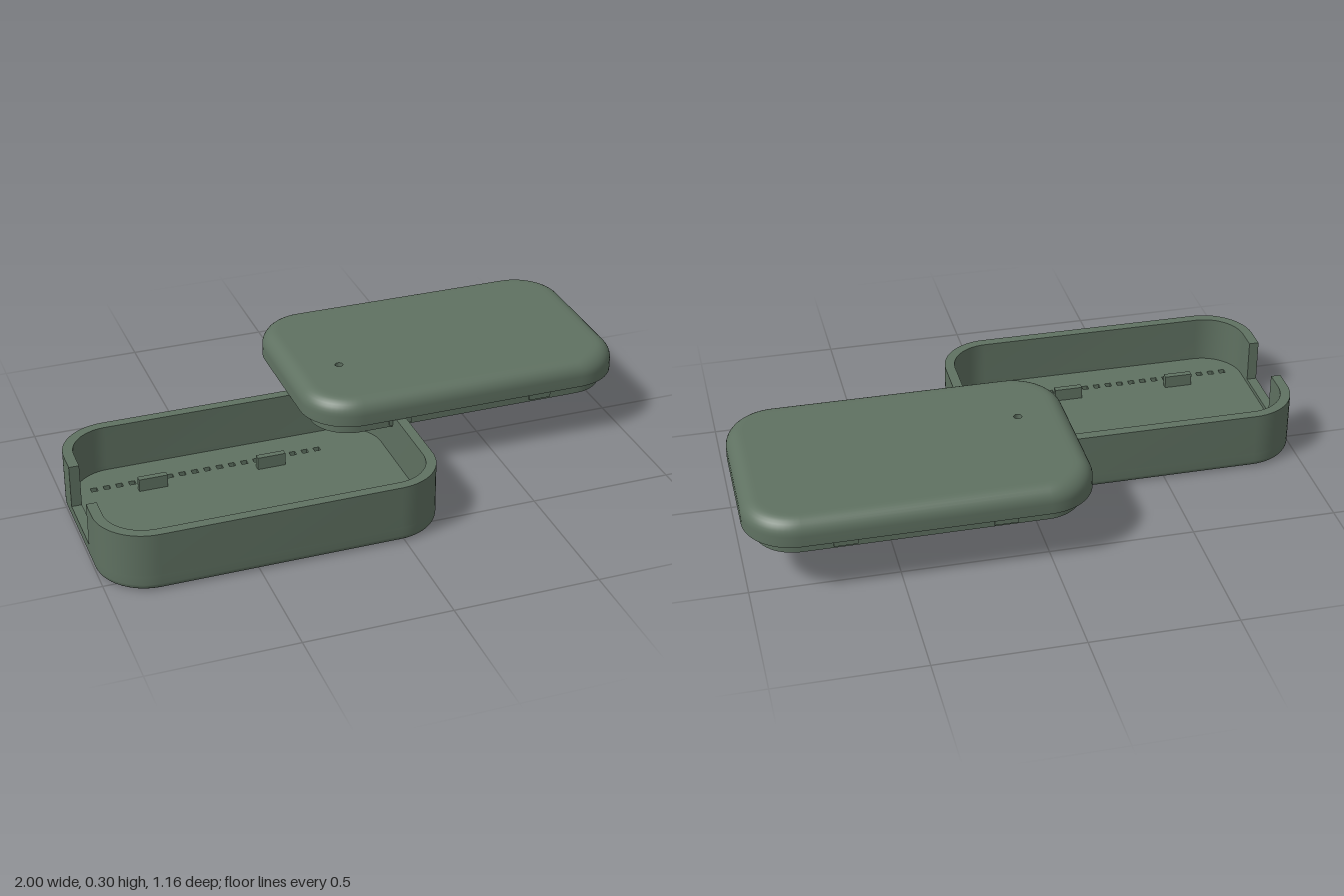
import * as THREE from 'three';
import { toCreasedNormals } from 'three/addons/utils/BufferGeometryUtils.js';

const HX = 0.5815, HZ = 0.371, R = 0.175; // half size and corner radius of both halves
const CUT = 0.12; // half width of the cable opening
const WALL = 0.035;

// Rounded-rectangle outline from the middle of the -x end, leaving a gap if asked
function outline(gap = 0) {
  const pts = [{ cx: -HX + R, cz: -gap, nx: -1, nz: 0 }];
  const corners = [[-1, -1, 2], [1, -1, 3], [1, 1, 0], [-1, 1, 1]];
  for (const [sx, sz, q] of corners) {
    for (let i = 0; i <= 14; i++) {
      const a = (q + i / 14) * Math.PI / 2;
      pts.push({ cx: sx * (HX - R), cz: sz * (HZ - R), nx: Math.cos(a), nz: Math.sin(a) });
    }
  }
  pts.push({ cx: -HX + R, cz: gap, nx: -1, nz: 0 });
  return pts;
}

// Sweeps a closed [inset, y] profile along the outline, capping the ends at a gap
function sweep(profile, gap = 0) {
  const path = outline(gap), pos = [];
  const at = (p, [d, y]) => [p.cx + p.nx * (R - d), y, p.cz + p.nz * (R - d)];
  const tri = (a, b, c) => pos.push(...a, ...b, ...c);
  for (let i = 0; i < path.length - 1; i++) {
    profile.forEach((k, j) => {
      const n = profile[(j + 1) % profile.length];
      const a = at(path[i], k), b = at(path[i + 1], k), c = at(path[i], n), d = at(path[i + 1], n);
      tri(a, c, b);
      tri(b, c, d);
    });
  }
  if (gap > 0) {
    const first = path[0], last = path[path.length - 1];
    const contour = profile.map(([d, y]) => new THREE.Vector2(-d, y));
    for (const [a, b, c] of THREE.ShapeUtils.triangulateShape(contour, [])) {
      tri(at(last, profile[a]), at(last, profile[b]), at(last, profile[c]));
      tri(at(first, profile[a]), at(first, profile[c]), at(first, profile[b]));
    }
  }
  const geo = new THREE.BufferGeometry();
  geo.setAttribute('position', new THREE.Float32BufferAttribute(pos, 3));
  return toCreasedNormals(geo, 0.6);
}

// Horizontal plate filling the outline at an inset, with holes
function plate(inset, bottom, top, holes) {
  const pts = outline().slice(1, -1)
    .map(p => new THREE.Vector2(p.cx + p.nx * (R - inset), p.cz + p.nz * (R - inset)));
  const shape = new THREE.Shape(pts);
  shape.holes.push(...holes);
  const geo = new THREE.ExtrudeGeometry(shape, { depth: top - bottom, bevelEnabled: false });
  return geo.rotateX(Math.PI / 2).translate(0, top, 0);
}

// Quarter-round profile points from the side (inset 0) to the flat face
function fillet(r, y, up) {
  const pts = [];
  for (let i = 0; i <= 8; i++) {
    const a = i / 8 * Math.PI / 2;
    pts.push([r - r * Math.cos(a), y + up * (r * Math.sin(a) - r)]);
  }
  return up > 0 ? pts : pts.reverse();
}

export function createModel() {
  const green = new THREE.MeshStandardMaterial({ color: 0x5f7161 });
  green.name = 'sage green';
  const model = new THREE.Group();
  model.name = 'openCase';
  const add = (parent, name, geo, x = 0, y = 0, z = 0) => {
    const mesh = new THREE.Mesh(geo, green);
    mesh.name = name;
    mesh.position.set(x, y, z);
    parent.add(mesh);
  };

  // Tray: rounded lower wall, upper wall with cable opening, perforated floor
  const tray = new THREE.Group();
  tray.name = 'tray';
  tray.position.set(-0.4185, 0, 0.209);
  const sill = 0.055, floorTop = 0.04, rim = 0.207;
  add(tray, 'lowerWall', sweep([...fillet(0.022, 0, -1), [0, sill], [WALL, sill], [WALL, 0]]));
  add(tray, 'upperWall', sweep([[0, sill], [0, rim], [WALL, rim], [WALL, sill]], CUT));
  const vents = [];
  for (const z of [-0.222, 0.222]) {
    for (let i = 0; i < 19; i++) {
      const x = -0.481 + i * 0.0443, h = 0.011;
      vents.push(new THREE.Path([[-h, -h], [-h, h], [h, h], [h, -h]]
        .map(([u, v]) => new THREE.Vector2(x + u, z + v))));
    }
  }
  add(tray, 'floor', plate(WALL, 0, floorTop, vents));
  // Upright stops on the floor
  for (const x of [-0.289, 0.131]) {
    for (const z of [-0.17, 0.166]) {
      add(tray, 'boardStop', new THREE.BoxGeometry(0.1, 0.05, 0.022), x, floorTop + 0.02, z);
    }
  }

  // Lid: rounded rim, top panel with pinhole, and a lip that fits inside the tray
  const lid = new THREE.Group();
  lid.name = 'lid';
  lid.position.set(0.4185, 0, -0.209);
  const lipInset = 0.04, inner = 0.07, lidTop = 0.3;
  add(lid, 'lidRim', sweep([[0, rim], ...fillet(0.055, lidTop, 1), [inner, lidTop], [inner, rim]]));
  const pinhole = new THREE.Path().absarc(-0.4, 0.091, 0.014, 0, Math.PI * 2, true);
  add(lid, 'topPanel', plate(inner, 0.265, lidTop, [pinhole]));
  add(lid, 'lip', sweep([[lipInset, 0.16], [lipInset, rim], [inner, rim], [inner, 0.16]], CUT));
  // Snap ridges on the long sides of the lip
  for (const x of [-0.263, 0.263]) {
    for (const s of [-1, 1]) {
      add(lid, 'snapRidge', new THREE.BoxGeometry(0.08, 0.025, 0.02), x, 0.181, s * (HZ - lipInset - 0.003));
    }
  }

  model.add(tray, lid);
  return model;
}
